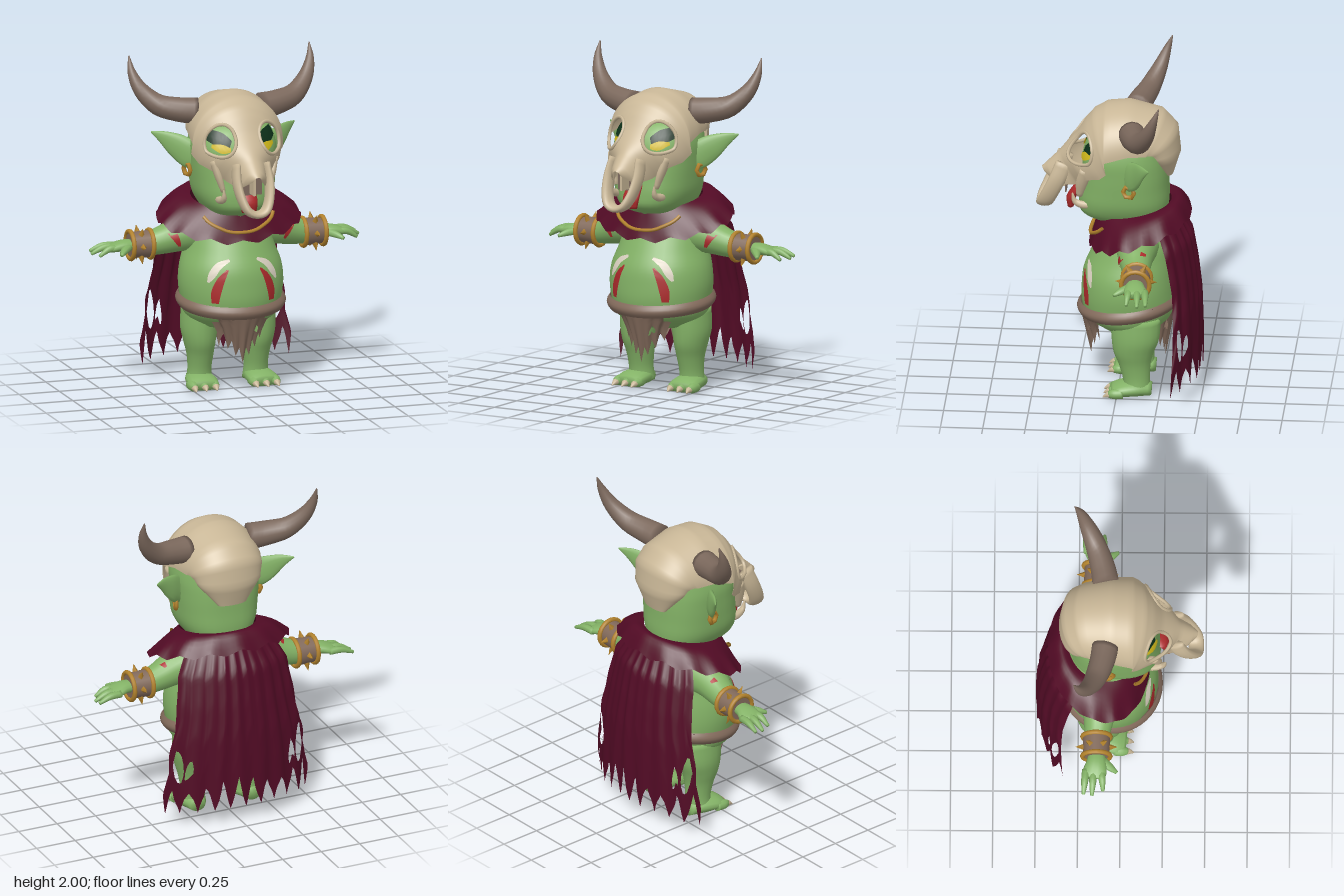
import * as THREE from 'three';
import { mergeVertices } from 'three/addons/utils/BufferGeometryUtils.js';

const V = (x, y, z) => new THREE.Vector3(x, y, z);
const mat = (name, color) => new THREE.MeshStandardMaterial({ name, color, side: THREE.DoubleSide });
const X = V(1, 0, 0), Y = V(0, 1, 0), Z = V(0, 0, 1);
const { sin, cos, PI, abs, sqrt, max } = Math;

// Smooth sampler over sections [x, y, z, ru, rv]
function sampler(pts) {
  const P = new THREE.CatmullRomCurve3(pts.map(p => V(p[0], p[1], p[2])), false, 'catmullrom', 0.5);
  const R = new THREE.CatmullRomCurve3(pts.map(p => V(p[3], p[4] ?? p[3], 0)), false, 'catmullrom', 0.5);
  return t => ({ p: P.getPoint(t), r: R.getPoint(t), d: P.getTangent(t) });
}

// Capped tube of elliptical sections; rv is measured along ref, sq < 1 makes it boxier
function loft(pts, ref, n = 16, { fix, sq = 1, k = 4 } = {}) {
  const at = sampler(pts), rows = (pts.length - 1) * k, pos = [], idx = [];
  const pw = a => Math.sign(a) * abs(a) ** sq;
  for (let i = 0; i <= rows; i++) {
    const { p, r, d } = at(i / rows), t = fix || d;
    const u = ref.clone().cross(t).normalize(), v = t.clone().cross(u);
    for (let j = 0; j < n; j++) {
      const a = j / n * 2 * PI;
      const q = p.clone().addScaledVector(u, max(r.x, 0.002) * pw(cos(a))).addScaledVector(v, max(r.y, 0.002) * pw(sin(a)));
      pos.push(q.x, q.y, q.z);
      if (i < rows) {
        const a0 = i * n + j, a1 = i * n + (j + 1) % n;
        idx.push(a0, a1, a1 + n, a0, a1 + n, a0 + n);
      }
    }
  }
  const c0 = pos.length / 3, last = rows * n, s = at(0).p, e = at(1).p;
  pos.push(s.x, s.y, s.z, e.x, e.y, e.z);
  for (let j = 0; j < n; j++) {
    const j1 = (j + 1) % n;
    idx.push(c0, j1, j, c0 + 1, last + j, last + j1);
  }
  const g = new THREE.BufferGeometry();
  g.setAttribute('position', new THREE.Float32BufferAttribute(pos, 3));
  g.setIndex(idx);
  g.computeVertexNormals();
  return g;
}

// Surface fn(u, v) -> Vector3 with elliptical holes [u, v, ru, rv]
function sheet(nu, nv, fn, holes = []) {
  const pos = [], idx = [], gone = [];
  for (let j = 0; j <= nv; j++) for (let i = 0; i <= nu; i++) {
    let u = i / nu, v = j / nv, inside = 0;
    holes.forEach(([hu, hv, ru, rv], h) => {
      const d = Math.hypot((u - hu) / ru, (v - hv) / rv);
      if (d < 1) {
        inside = h + 1;
        u = hu + (u - hu) / max(d, 0.01);
        v = hv + (v - hv) / max(d, 0.01);
      }
    });
    gone.push(inside);
    const q = fn(u, v);
    pos.push(q.x, q.y, q.z);
  }
  for (let j = 0; j < nv; j++) for (let i = 0; i < nu; i++) {
    const a = j * (nu + 1) + i, b = a + 1, c = a + nu + 1, d = c + 1;
    if (gone[a] && gone[b] && gone[c] && gone[d]) continue;
    idx.push(a, b, d, a, d, c);
  }
  let g = new THREE.BufferGeometry();
  g.setAttribute('position', new THREE.Float32BufferAttribute(pos, 3));
  g.setIndex(idx);
  g = mergeVertices(g, 1e-5);
  g.computeVertexNormals();
  return g;
}

function mirrored(geo) {
  const g = geo.index ? geo.toNonIndexed() : geo.clone();
  g.scale(-1, 1, 1);
  for (const a of Object.values(g.attributes)) for (let i = 0; i < a.count; i += 3) for (let c = 0; c < a.itemSize; c++) {
    const t = a.getComponent(i, c);
    a.setComponent(i, c, a.getComponent(i + 2, c));
    a.setComponent(i + 2, c, t);
  }
  return g;
}

const lerpList = (l, t) => {
  const f = Math.min(max(t, 0), 0.9999) * (l.length - 1), i = Math.floor(f);
  return l[i] + (l[i + 1] - l[i]) * (f - i);
};
const zigzag = (u, n) => abs(((u * n) % 1) * 2 - 1);

export function createModel() {
  const model = new THREE.Group();
  const skin = mat('skin', 0x83b266), bone = mat('bone', 0xc9b797), horn = mat('horn', 0x7c695d), cloak = mat('cloak', 0x520b25),
    red = mat('red paint', 0xab2a2b), cream = mat('cream paint', 0xdcd3c2), leather = mat('leather', 0x826a5b),
    gold = mat('gold', 0xb3832d), yellow = mat('eye yellow', 0xd3bb1c), dark = mat('eye dark', 0x0d3019);
  const add = (name, geo, m) => {
    const o = new THREE.Mesh(geo, m);
    o.name = name;
    model.add(o);
  };
  const both = (name, geo, m) => {
    add(name + 'Left', geo, m);
    add(name + 'Right', mirrored(geo), m);
  };

  // Torso and head
  const torso = [[0, .39, -.07, .2, .17], [0, .46, -.06, .28, .25], [0, .55, -.06, .302, .28], [0, .65, -.06, .315, .28],
    [0, .75, -.065, .305, .272], [0, .85, -.085, .272, .25], [0, .93, -.1, .25, .228], [0, 1.0, -.1, .22, .2], [0, 1.12, -.09, .16, .16]];
  const head = [[0, 1.06, -.06, .13, .15], [0, 1.12, -.03, .19, .25], [0, 1.2, -.03, .23, .268], [0, 1.3, -.035, .243, .262],
    [0, 1.4, -.04, .25, .257], [0, 1.5, -.04, .25, .25], [0, 1.6, -.06, .215, .215], [0, 1.67, -.07, .11, .11]];
  add('torso', loft(torso, Z, 36, { fix: Y }), skin);
  add('head', loft(head, Z, 32, { fix: Y, sq: .8 }), skin);

  // Paint strokes [x, y, half width] laid on the front of a body
  const paint = (stroke, body, sq, off) => {
    const at = sampler(body), c = new THREE.CatmullRomCurve3(stroke.map(s => V(...s)));
    return sheet(14, 4, (u, v) => {
      const p = c.getPoint(u), d = c.getTangent(u), l = Math.hypot(d.x, d.y), w = p.z * (v * 2 - 1);
      const x = p.x - d.y / l * w, y = p.y + d.x / l * w;
      let s = at(0);
      for (let i = 1; i <= 200 && s.p.y < y; i++) s = at(i / 200);
      const sn = Math.min(1, abs(x / s.r.x) ** (1 / sq));
      return V(x, y, s.p.z + s.r.y * sqrt(1 - sn * sn) ** sq + off);
    });
  };
  both('redBellyStroke', paint([[.1, .765, .005], [.14, .71, .02], [.17, .63, .026], [.175, .565, .018]], torso, 1, .007), red);
  both('creamBellyStroke', paint([[.085, .82, .008], [.15, .785, .018], [.19, .73, .018], [.21, .69, .006]], torso, 1, .007), cream);
  both('eyeShade', paint([[.085, 1.525, .022], [.14, 1.55, .042], [.205, 1.575, .03]], head, .8, .006), dark);
  both('eye', paint([[.09, 1.495, .012], [.135, 1.5, .026], [.19, 1.515, .01]], head, .8, .012), yellow);

  // Legs, feet and claws
  both('leg', loft([[.175, .03, -.12, .08, .08], [.175, .11, -.115, .07, .08], [.175, .2, -.105, .078, .095], [.18, .28, -.1, .093, .12],
    [.18, .37, -.11, .108, .142], [.17, .5, -.11, .11, .15]], Z, 18, { fix: Y }), skin);
  both('foot', loft([[.18, .045, -.205, .05, .04], [.18, .05, -.12, .082, .05], [.185, .045, -.03, .095, .044], [.19, .032, .03, .085, .028]], Y, 16), skin);
  for (const x of [.125, .19, .255]) {
    both('toe', loft([[x, .035, -.04, .03, .03], [x, .032, .01, .032, .03], [x, .028, .045, .018, .02]], Y, 10), skin);
    both('claw', loft([[x, .03, .025, .024, .023], [x, .026, .05, .018, .017], [x + .003, .012, .078, .003, .003]], Y, 8), bone);
  }

  // Arms and hands
  both('arm', loft([[.18, .955, -.12, .13], [.3, .93, -.12, .105], [.4, .9, -.13, .085], [.5, .88, -.14, .068], [.6, .88, -.14, .046, .036]], Y, 18), skin);
  both('palm', loft([[.57, .88, -.14, .045, .035], [.64, .882, -.14, .06, .034], [.7, .872, -.15, .07, .026], [.73, .865, -.155, .05, .018]], Y, 14), skin);
  for (const [z0, x, y, z] of [[-.2, .825, .845, -.215], [-.155, .83, .838, -.165], [-.11, .8, .835, -.1]])
    both('finger', loft([[.68, .872, z0, .024, .022], [(.68 + x) / 2, .872, (z0 + z) / 2, .021, .02], [x, y, z, .01, .01]], Y, 8), skin);
  both('thumb', loft([[.62, .875, -.11, .03, .024], [.66, .865, -.06, .024, .02], [.69, .85, -.018, .01, .01]], Y, 8), skin);
  both('redArmStroke', sheet(16, 4, (u, v) => {
    const a = -.45 + u * 2.7, x = .345 + .045 * sin(a) + (v - .5) * .05 * sin(PI * (.1 + .8 * u));
    const r = .111 - (x - .3) * .2;
    return V(x, .93 - .3 * (x - .3) + r * sin(a), -.12 - .1 * (x - .3) + r * cos(a));
  }), red);

  // Spiked bracers
  both('bracer', new THREE.CylinderGeometry(.076, .082, .13, 18).rotateZ(-PI / 2).translate(.535, .88, -.14), leather);
  for (const x of [.475, .597])
    both('bracerRing', new THREE.TorusGeometry(.083, .014, 8, 20).rotateY(PI / 2).translate(x, .88, -.14), gold);
  for (let i = 0; i < 6; i++)
    both('bracerSpike', new THREE.ConeGeometry(.022, .055, 4).translate(0, .097, 0).rotateX(i * PI / 3 + PI / 2).translate(.54, .88, -.14), gold);

  // Ears and earrings
  both('ear', loft([[.2, 1.39, -.06, .03, .07], [.25, 1.42, -.08, .028, .085], [.31, 1.465, -.12, .022, .075], [.38, 1.51, -.16, .014, .042],
    [.445, 1.54, -.205, .003, .004]], Y, 14), skin);
  both('earring', new THREE.TorusGeometry(.035, .014, 6, 6).rotateY(PI / 2 - .3).translate(.265, 1.33, -.075), gold);

  // Skull mask: arches [z, y, half width, depth, depth direction z, y] from nape to nose
  const arches = [[-.325, 1.37, .09, .03, 1, 0], [-.365, 1.5, .2, .12, 1, 0], [-.35, 1.65, .225, .17, .8, -.6], [-.26, 1.75, .24, .22, .4, -.92],
    [-.06, 1.8, .265, .25, 0, -1], [.07, 1.785, .28, .27, 0, -1], [.15, 1.74, .285, .3, -.3, -.95], [.2, 1.68, .275, .28, -.5, -.86],
    [.25, 1.6, .25, .25, -.6, -.8], [.31, 1.53, .195, .2, -.6, -.8], [.36, 1.47, .12, .2, -.6, -.8], [.425, 1.405, .08, .13, -.5, -.86],
    [.455, 1.375, .025, .03, -.5, -.86]];
  const col = i => arches.map(a => a[i]), cols = [0, 1, 2, 3, 4, 5].map(col);
  const skullPoint = (u, v) => {
    const [z, y, w, d, dz, dy] = cols.map(c => lerpList(c, v)), a = (u - .5) * PI, o = d * (1 - cos(a));
    return V(w * sin(a), y + dy * o, z + dz * o);
  };
  const socket = s => [.5 + s * .228, 8 / 12, .13, 1.15 / 12];
  add('skullMask', sheet(48, 48, skullPoint, [socket(1), socket(-1)]), bone);
  const [su, sv, sru, srv] = socket(1);
  const rim = Array.from({ length: 20 }, (_, i) => skullPoint(su + sru * cos(i * PI / 10), sv + srv * sin(i * PI / 10)));
  both('socketRim', new THREE.TubeGeometry(new THREE.CatmullRomCurve3(rim, true), 40, .011, 6, true), bone);
  const half = [[.092, 1.43, .32, .022, .05], [.1, 1.33, .36, .026, .05], [.085, 1.235, .405, .026, .05], [.052, 1.17, .435, .026, .05]];
  add('upperJawBone', loft([...half, [0, 1.15, .445, .022, .045], ...half.map(([x, ...r]) => [-x, ...r]).reverse()], Z, 12), bone);
  add('noseSeptum', new THREE.BoxGeometry(.014, .16, .08).translate(0, 1.33, .35), bone);
  add('noseHollow', new THREE.BoxGeometry(.14, .18, .008).translate(0, 1.33, .31), horn);
  both('cheekBone', loft([[.19, 1.43, .18, .022, .04], [.165, 1.34, .21, .022, .035], [.14, 1.25, .225, .014, .018]], Z, 10), bone);
  both('tusk', loft([[.15, 1.2, .13, .022], [.15, 1.195, .2, .024], [.145, 1.215, .25, .018], [.15, 1.27, .265, .004]], X, 8), bone);
  add('tongue', loft([[0, 1.13, .285, .045, .02], [0, 1.19, .28, .055, .03], [0, 1.26, .235, .05, .03]], Z, 12, { fix: Y }), red);
  both('horn', loft([[.2, 1.675, -.09, .08], [.3, 1.685, -.11, .074], [.42, 1.715, -.15, .063], [.51, 1.8, -.2, .046],
    [.553, 1.9, -.24, .026], [.56, 1.995, -.275, .003]], Z, 14), horn);

  // Collar, neck cord and ragged cloak
  const collar = (t, v) => {
    const k = (1 - cos(t)) / 2, f = cos(t), n = zigzag(t / (2 * PI) + 1, 14) * .03 * v * v;
    const y0 = 1.07 + .12 * sqrt(k), y1 = .905 + .19 * k ** .8 + n;
    return V((.23 + .21 * v) * sin(t), y0 + (y1 - y0) * v + .06 * k * sin(PI * v), -.09 + (f > 0 ? .22 + .045 * v : .22 + .12 * v) * f);
  };
  add('collar', sheet(84, 8, (u, v) => collar(u * 2 * PI, v)), cloak);
  const cord = Array.from({ length: 13 }, (_, i) => {
    const s = i / 6 - 1;
    return collar(s * .8, .62 - .28 * s * s).add(V(0, .006, .01));
  });
  add('neckCord', new THREE.TubeGeometry(new THREE.CatmullRomCurve3(cord), 40, .011, 6), gold);
  add('cloak', sheet(80, 36, (u, v) => {
    const s = u * 2 - 1, end = .1 + (1 - zigzag(u, 10)) * (.13 + .07 * sin(u * 37) ** 2) + .03 * (1 - s * s);
    const w = lerpList([.24, .36, .385, .43, .465, .485], v) - .03 * v * zigzag(v, 4) * abs(s) ** 8;
    const z = lerpList([-.34, -.44, -.47, -.49, -.495, -.495], v) + lerpList([.12, .14, .13, .14, .15, .16], v) * s * s;
    return V(w * s, 1.16 - (1.16 - end) * v, z + .006 * v * sin(u * 44));
  }, [[.07, .77, .032, .09], [.93, .77, .032, .09], [.15, .84, .025, .06], [.86, .82, .025, .06]]), cloak);

  // Loincloth: waistband with a torn flap front and back
  add('waistband', sheet(48, 6, (u, v) => {
    const t = u * 2 * PI, o = .006 + .02 * sin(PI * v);
    return V((.303 + o) * sin(t), .465 + .035 * (1 - cos(t)) + .075 * v, -.06 + (.282 + o) * cos(t));
  }), leather);
  const flap = (z0, dir, top) => sheet(48, 16, (u, v) => {
    const s = u * 2 - 1, end = .19 + .13 * abs(s) + (1 - zigzag(u, 6)) * .07;
    const w = lerpList([.27, .2, .165, .14, .125], v);
    return V(w * s, top - (top - end) * v + .03 * s * s * (1 - v), z0 - dir * (.07 * v + lerpList([.13, .09, .06], v) * s * s));
  }, [[.75, .6, .06, .1]]);
  add('frontFlap', flap(.235, 1, .5), leather);
  add('backFlap', flap(-.345, -1, .56), leather);

  return model;
}
